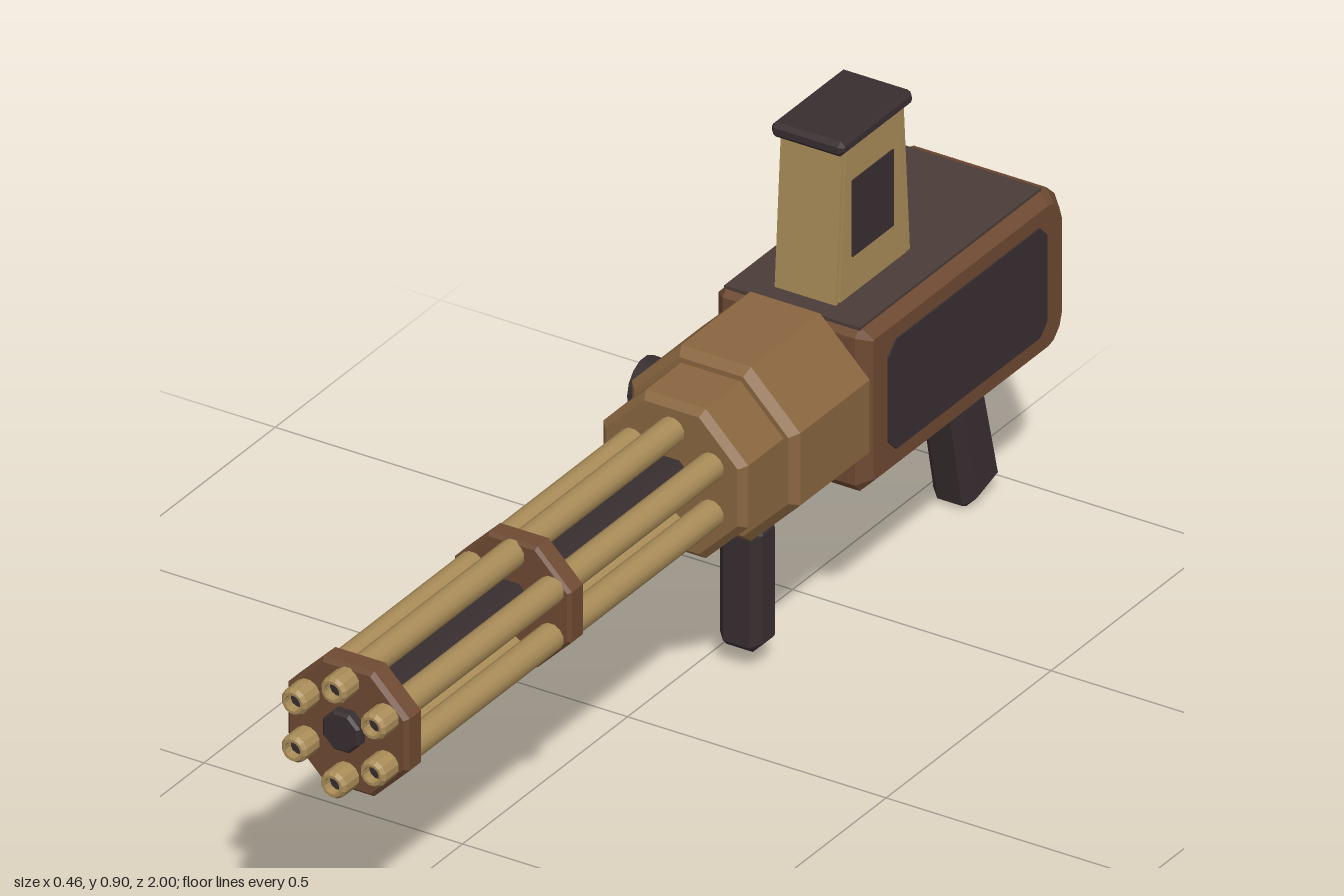
import * as THREE from 'three';

const CX = 0.066, CY = 0.456; // barrel axis

const material = (name, color) => {
  const m = new THREE.MeshStandardMaterial({ color });
  m.name = name;
  return m;
};

export function createModel() {
  const model = new THREE.Group();
  model.name = 'rotaryBlaster';

  const tan = material('tan brass', 0xa98c58);
  const bronze = material('bronze', 0x8a6640);
  const brown = material('brown', 0x6e4a32);
  const dark = material('dark grip', 0x382e30);
  const panel = material('dark brown panel', 0x4b3c38);

  const add = (name, geometry, mat, parent = model) => {
    const mesh = new THREE.Mesh(geometry, mat);
    mesh.name = name;
    parent.add(mesh);
    return mesh;
  };

  // Side profile given as [-z, y], extruded across x and chamfered
  const prism = (points, width, bevel = 0, x = CX) => {
    const shape = new THREE.Shape(points.map(([a, b]) => new THREE.Vector2(a, b)));
    const g = new THREE.ExtrudeGeometry(shape, {
      depth: width - 2 * bevel, bevelEnabled: bevel > 0, bevelThickness: bevel,
      bevelSize: bevel, bevelOffset: -bevel, bevelSegments: 1,
    });
    g.translate(0, 0, bevel - width / 2);
    g.rotateY(Math.PI / 2);
    return g.translate(x, 0, 0);
  };

  const rect = (a0, a1, y0, y1, c = 0) => c
    ? [[a0 + c, y0], [a1 - c, y0], [a1, y0 + c], [a1, y1 - c], [a1 - c, y1], [a0 + c, y1], [a0, y1 - c], [a0, y0 + c]]
    : [[a0, y0], [a1, y0], [a1, y1], [a0, y1]];

  // Solid of revolution along z, profile as [radius, z] from back to front
  const turned = (profile, sides, flat, x = CX, y = CY) => {
    let g = new THREE.LatheGeometry(profile.map(([r, z]) => new THREE.Vector2(r, z)), sides, Math.PI / sides);
    g.rotateX(Math.PI / 2);
    if (flat) {
      g = g.toNonIndexed();
      g.computeVertexNormals();
    }
    return g.translate(x, y, 0);
  };

  // Eight-sided chamfered drum, sized by its flats
  const drum = (apothem, z0, z1, c) => {
    const k = 1 / Math.cos(Math.PI / 8), r = apothem * k;
    return turned([[0, z0], [r - c, z0], [r, z0 + c], [r, z1 - c], [r - c, z1], [0, z1]], 8, true);
  };

  // Housing
  add('mainHousing', drum(0.163, -0.39, -0.15, 0.015), bronze);
  add('frontCollar', drum(0.14, -0.2, -0.03, 0.013), bronze);

  // Barrel cluster
  const cluster = new THREE.Group();
  cluster.name = 'barrelCluster';
  model.add(cluster);
  add('centerShaft', drum(0.036, -0.05, 0.975, 0.005), dark, cluster);
  add('middleBand', drum(0.113, 0.41, 0.455, 0.006), brown, cluster);
  add('frontBand', drum(0.117, 0.905, 0.955, 0.008), brown, cluster);
  for (let i = 0; i < 6; i++) {
    const a = Math.PI / 2 + i * Math.PI / 3;
    const x = CX + 0.088 * Math.cos(a), y = CY + 0.088 * Math.sin(a);
    add('barrel', turned([[0.025, -0.05], [0.025, 0.95]], 12, false, x, y), tan, cluster);
    add('muzzle', turned([[0.025, 0.95], [0.025, 0.993], [0.02, 1], [0.015, 1], [0.015, 0.98]], 12, true, x, y), tan, cluster);
    add('bore', new THREE.CircleGeometry(0.0155, 12).translate(x, y, 0.982), dark, cluster);
  }

  // Rear body with rounded back
  add('rearBody', prism([
    [0.385, 0.31], [0.4, 0.293], [0.94, 0.293], [0.965, 0.3], [0.99, 0.325], [1, 0.355],
    [1, 0.54], [0.99, 0.57], [0.965, 0.593], [0.94, 0.6], [0.4, 0.6], [0.385, 0.585],
  ], 0.3, 0.022), brown);
  for (const s of [-1, 1]) {
    add('sidePanel', prism(rect(0.45, 0.93, 0.345, 0.55, 0.022), 0.008, 0, CX + s * 0.149), dark);
  }
  add('topPanel', prism(rect(0.395, 0.945, 0.596, 0.602), 0.262), panel);

  // Tapered magazine: dark core, tan plates
  const tower = new THREE.Group();
  tower.name = 'magazine';
  model.add(tower);
  const taper = (inset) => [[0.435 + inset, 0.59], [0.66 - inset, 0.59], [0.64 - inset, 0.885], [0.455 + inset, 0.885]];
  add('magazineCore', prism(taper(0.003), 0.11), dark, tower);
  for (const s of [-1, 1]) {
    add('magazineSidePlate', prism(taper(0.011), 0.008, 0, CX + s * 0.056), tan, tower);
    add('magazineWindow', prism(rect(0.482, 0.606, 0.672, 0.815), 0.006, 0, CX + s * 0.0595), dark, tower);
  }
  add('magazineFrontPlate', prism([[0.434, 0.59], [0.441, 0.59], [0.461, 0.885], [0.454, 0.885]], 0.118), tan, tower);
  add('magazineBackPlate', prism([[0.654, 0.59], [0.661, 0.59], [0.641, 0.885], [0.634, 0.885]], 0.118), tan, tower);
  add('magazineCap', prism(rect(0.436, 0.657, 0.878, 0.906, 0.008), 0.14, 0.008), dark, tower);

  // Front grip and its collar
  add('gripCollar', prism([[0.22, 0.262], [0.305, 0.262], [0.315, 0.275], [0.315, 0.31], [0.205, 0.31], [0.205, 0.275]], 0.09, 0.008), bronze);
  add('frontGrip', prism(rect(0.225, 0.295, 0.038, 0.275, 0.012), 0.082, 0.016), dark);

  // Slanted rear grip
  add('rearGrip', prism([
    [0.807, 0.33], [0.897, 0.33], [0.973, 0.035], [0.965, 0.024], [0.885, 0.002], [0.873, 0.008],
  ], 0.084, 0.018), dark);

  // Trigger and guard
  add('trigger', prism([[0.75, 0.3], [0.77, 0.235], [0.783, 0.235], [0.793, 0.3]], 0.03), tan);
  add('triggerGuard', prism(rect(0.695, 0.845, 0.197, 0.225, 0.005), 0.045, 0.005), bronze);

  // Side crank
  const crank = new THREE.Group();
  crank.name = 'crank';
  model.add(crank);
  const rod = (r, x0, x1, y, z, sides) => new THREE.CylinderGeometry(r, r, x1 - x0, sides)
    .rotateZ(Math.PI / 2).translate((x0 + x1) / 2, y, z);
  add('crankHub', rod(0.05, -0.14, -0.08, 0.455, -0.268, 14), dark, crank);
  add('crankArm', prism([
    [0.335, 0.31], [0.348, 0.302], [0.362, 0.312], [0.295, 0.445], [0.28, 0.456], [0.264, 0.45], [0.26, 0.435],
  ], 0.03, 0.005, -0.153), dark, crank);
  add('crankArmEnd', rod(0.021, -0.165, -0.14, 0.308, -0.348, 10), dark, crank);
  add('crankHandle', rod(0.024, -0.232, -0.14, 0.291, -0.35, 12), brown, crank);

  return model;
}
